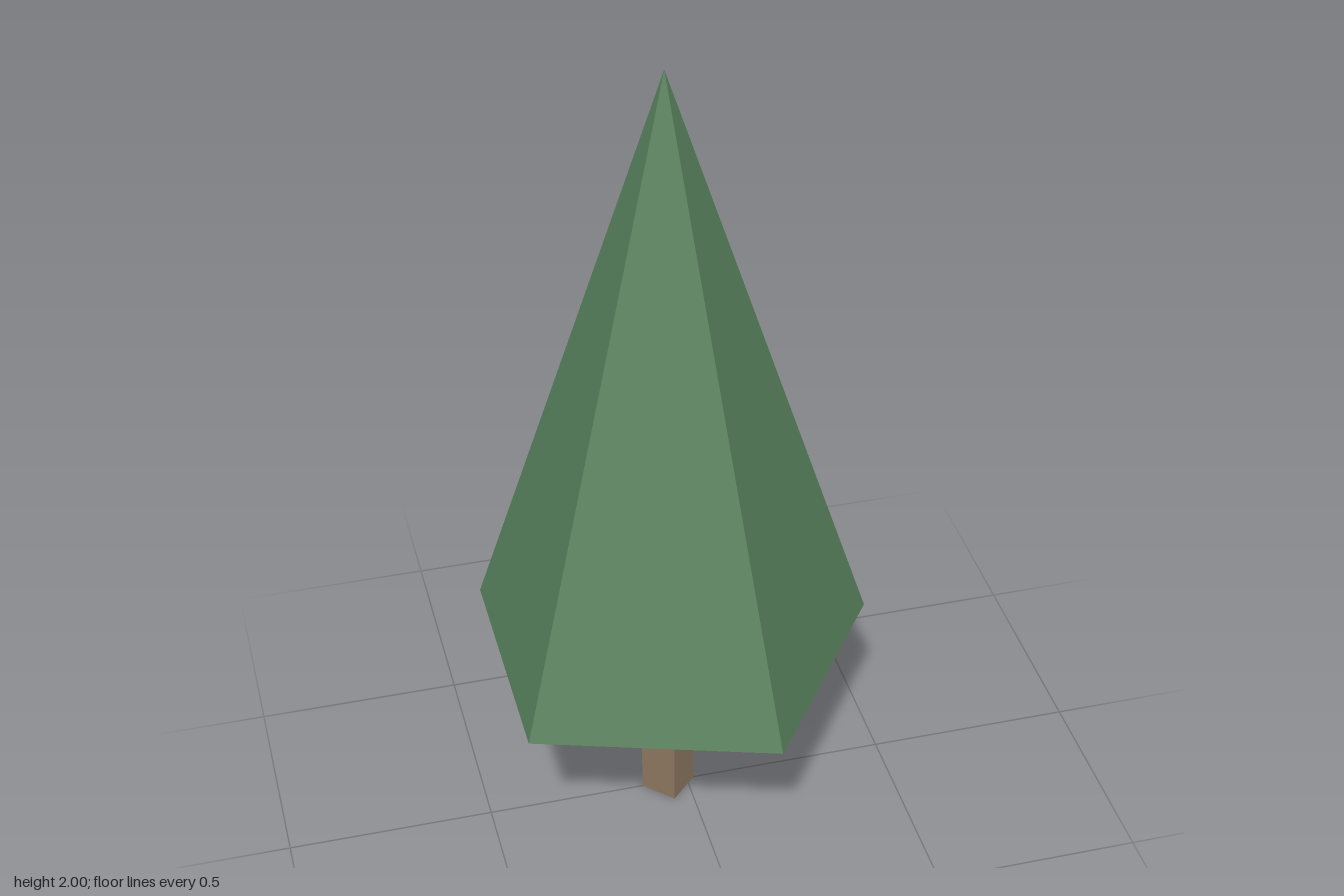
import * as THREE from 'three';

export function createModel() {
  const tree = new THREE.Group();
  tree.name = 'tree';

  const foliageGreen = new THREE.MeshStandardMaterial({ color: 0x58825d });
  foliageGreen.name = 'foliage green';
  foliageGreen.flatShading = true;
  const barkBrown = new THREE.MeshStandardMaterial({ color: 0x8b765e });
  barkBrown.name = 'bark brown';
  barkBrown.flatShading = true;

  const axisX = -0.0475; // the five-sided crown is offset so its extents are centred
  const crownBase = 0.47;
  const crownHeight = 2 - crownBase;
  const trunkHeight = crownBase + 0.01; // slightly sunk into the crown

  // Crown: five-sided cone with one corner pointing to +x
  const crown = new THREE.Mesh(
    new THREE.ConeGeometry(0.4975, crownHeight, 5, 1, false, Math.PI / 2),
    foliageGreen
  );
  crown.name = 'crown';
  crown.position.set(axisX, crownBase + crownHeight / 2, 0);

  // Trunk: square post with an edge facing the front
  const trunk = new THREE.Mesh(
    new THREE.CylinderGeometry(0.066, 0.066, trunkHeight, 4),
    barkBrown
  );
  trunk.name = 'trunk';
  trunk.position.set(axisX, trunkHeight / 2, 0);

  tree.add(crown, trunk);
  return tree;
}
